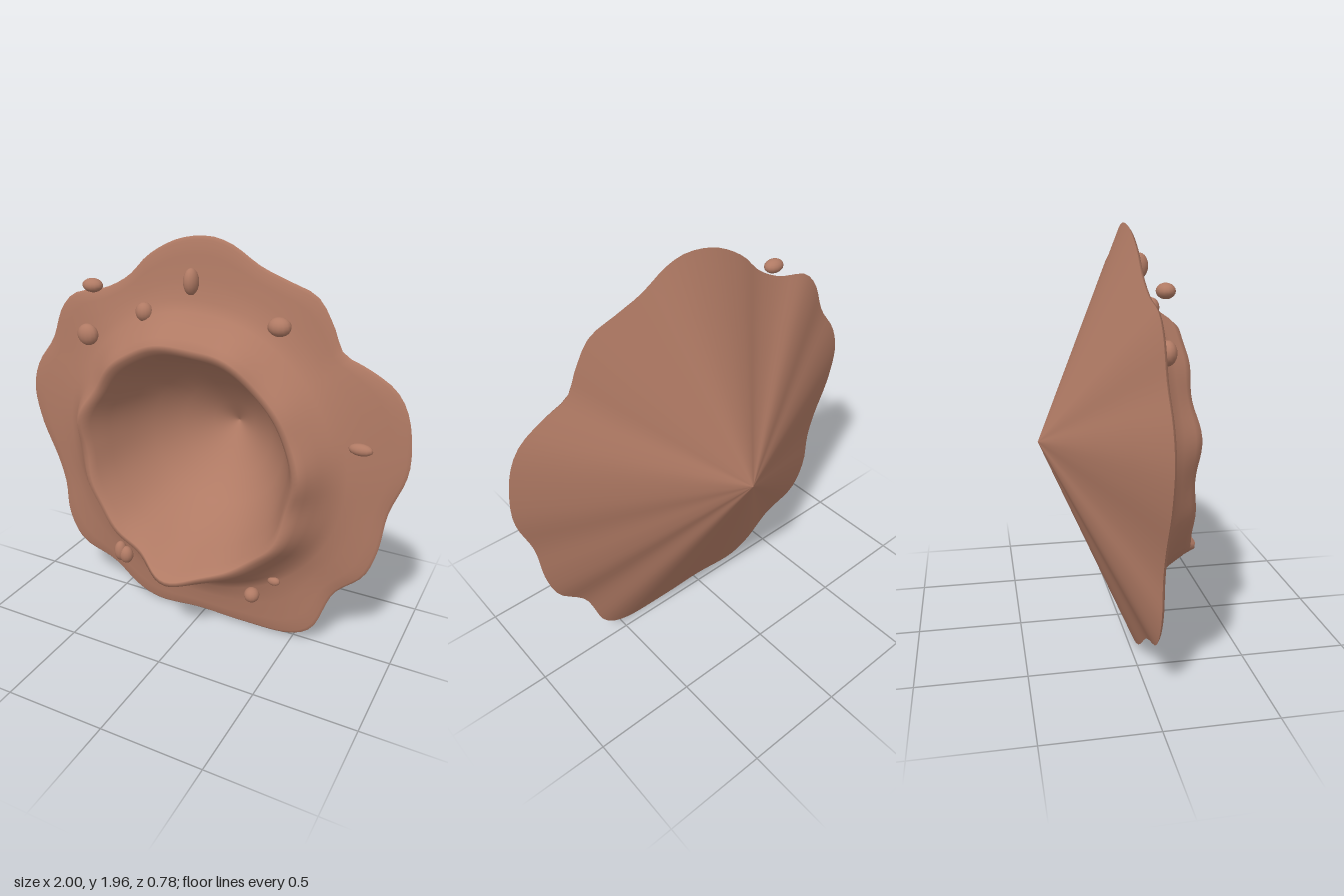
import * as THREE from 'three';

const N = 128;          // points around each ring
const CY = 0.95;        // height of the crater axis
const APEX = -0.39;     // depth of the pointed back

// Wavy outer edge, counter-clockwise from the model's left
const EDGE = [
  [1, 1.11], [0.97, 1.3], [0.91, 1.4], [0.79, 1.475], [0.67, 1.53], [0.625, 1.63], [0.545, 1.755],
  [0.41, 1.81], [0.28, 1.86], [0.145, 1.94], [0.04, 1.967], [-0.12, 1.945], [-0.28, 1.86],
  [-0.39, 1.755], [-0.52, 1.685], [-0.71, 1.635], [-0.79, 1.55], [-0.855, 1.39], [-0.96, 1.245],
  [-1, 1.11], [-0.97, 0.925], [-0.88, 0.71], [-0.845, 0.58], [-0.83, 0.39], [-0.75, 0.245],
  [-0.55, 0.165], [-0.39, 0.045], [-0.27, 0.005], [-0.015, 0.02], [0.225, 0.015], [0.49, 0.03],
  [0.6, 0.095], [0.705, 0.335], [0.84, 0.47], [0.895, 0.62], [0.925, 0.82], [0.99, 1.005],
];

// Skin a list of rings (outer to inner) with quads; the last ring may collapse to a point
function skin(rings, flip) {
  const pos = [], idx = [];
  for (const ring of rings) for (const p of ring) pos.push(p.x, p.y, p.z);
  for (let r = 0; r < rings.length - 1; r++) {
    for (let i = 0; i < N; i++) {
      const j = (i + 1) % N;
      const a = r * N + i, b = r * N + j, c = a + N, d = b + N;
      if (flip) idx.push(a, c, b, b, c, d);
      else idx.push(a, b, c, b, d, c);
    }
  }
  const g = new THREE.BufferGeometry();
  g.setAttribute('position', new THREE.Float32BufferAttribute(pos, 3));
  g.setIndex(idx);
  g.computeVertexNormals();
  return g;
}

export function createModel() {
  const group = new THREE.Group();
  const clay = new THREE.MeshStandardMaterial({ color: 0xb07a64, side: THREE.DoubleSide });
  clay.name = 'clay brown';

  const add = (name, geometry) => {
    const mesh = new THREE.Mesh(geometry, clay);
    mesh.name = name;
    group.add(mesh);
    return mesh;
  };

  const curve = new THREE.CatmullRomCurve3(EDGE.map(([x, y]) => new THREE.Vector3(x, y, 0.03)), true);
  const edge = curve.getSpacedPoints(N).slice(0, N);
  const polar = edge.map((p) => ({
    a: Math.atan2(p.y - CY, p.x),
    R: Math.hypot(p.x, p.y - CY),
  }));

  // Uneven crest of the crater, with a spout pulled forward at the bottom
  const wobble = (a) => 0.008 * Math.sin(7 * a) + 0.006 * Math.sin(11 * a + 1);
  const spout = (a) => (Math.sin(a) < 0 ? Math.exp(-Math.pow(Math.cos(a) / 0.46, 2)) : 0);

  // Ring of the crater: radius r, depth z, share k of the crest's shape
  const ring = (r, z, k) => polar.map(({ a }) => {
    const rad = r + k * wobble(a);
    return new THREE.Vector3(Math.cos(a) * rad, CY + Math.sin(a) * rad,
      z + k * (wobble(a) + 0.135 * spout(a)));
  });
  // Ring of the brim: t = 0 at the wavy edge, 1 at the foot of the crater wall
  const brim = (t, z) => polar.map(({ a, R }) => {
    const rad = THREE.MathUtils.lerp(R, 0.74, t);
    return new THREE.Vector3(Math.cos(a) * rad, CY + Math.sin(a) * rad, z);
  });

  // Front: brim, outer wall, crest, and bowl running down to the apex
  add('craterFront', skin([
    edge, brim(0.06, 0.042), brim(0.3, 0.05), brim(0.65, 0.06), brim(1, 0.078),
    ring(0.69, 0.105, 0.1), ring(0.64, 0.16, 0.4), ring(0.6, 0.215, 0.75), ring(0.57, 0.245, 1),
    ring(0.545, 0.247, 1), ring(0.52, 0.215, 0.75), ring(0.48, 0.12, 0.4), ring(0.43, 0.0, 0.15),
    ring(0.36, -0.12, 0), ring(0.25, -0.235, 0), ring(0.12, -0.325, 0), ring(0.001, APEX, 0),
  ]));

  // Back: straight folds from the wavy edge to the apex
  const apex = new THREE.Vector3(0, CY, APEX);
  add('pointedBack', skin([0, 0.25, 0.5, 0.75, 0.9, 0.999].map((t) =>
    edge.map((p) => p.clone().lerp(apex, t))), true));

  // Pebbles scattered over the brim: x, y, half width, half height, half depth
  [
    [-0.55, 1.705, 0.052, 0.033, 0.04], [-0.595, 1.46, 0.055, 0.053, 0.04],
    [-0.27, 1.61, 0.042, 0.045, 0.04], [-0.025, 1.775, 0.034, 0.06, 0.043],
    [0.4, 1.625, 0.053, 0.042, 0.045], [0.795, 1.135, 0.055, 0.027, 0.028],
    [0.305, 0.24, 0.039, 0.038, 0.04], [0.42, 0.355, 0.032, 0.022, 0.02],
    [-0.465, 0.28, 0.034, 0.056, 0.035], [-0.43, 0.265, 0.038, 0.048, 0.035],
  ].forEach(([x, y, w, h, d], i) => {
    const pebble = add('pebble' + (i + 1), new THREE.SphereGeometry(1, 14, 10));
    pebble.position.set(x, y, 0.095);
    pebble.scale.set(w, h, d);
  });

  return group;
}
